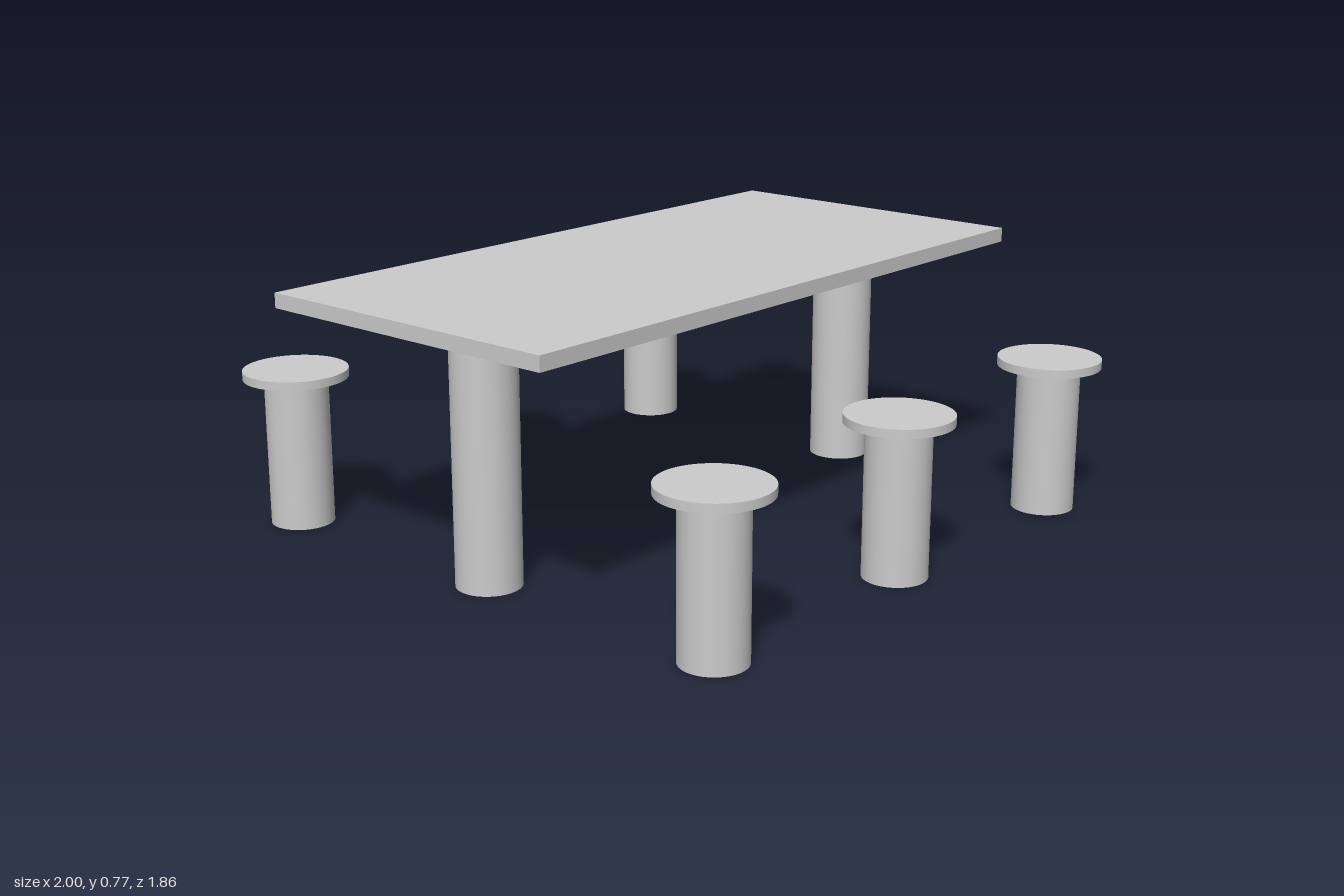
import * as THREE from 'three';

export function createModel() {
  const model = new THREE.Group();
  const material = new THREE.MeshStandardMaterial({ color: 0xcccccc });

  function add(parent, name, geometry, x, y, z) {
    const mesh = new THREE.Mesh(geometry, material);
    mesh.name = name;
    mesh.position.set(x, y, z);
    parent.add(mesh);
  }

  // Upright cylinder spanning two heights
  function column(parent, name, radius, bottom, top, x, z) {
    const geometry = new THREE.CylinderGeometry(radius, radius, top - bottom, 64);
    add(parent, name, geometry, x, (bottom + top) / 2, z);
  }

  // Table: thin slab on two round legs
  const table = new THREE.Group();
  table.name = 'table';
  model.add(table);
  add(table, 'tableTop', new THREE.BoxGeometry(2, 0.042, 0.976), 0, 0.746, -0.018);
  for (const x of [-0.733, 0.829]) column(table, 'tableLeg', 0.091, 0, 0.725, x, 0);

  // Three stools along each long side
  for (const z of [-0.778, 0.778]) {
    for (const x of [-0.733, 0.028, 0.79]) {
      const stool = new THREE.Group();
      stool.name = 'stool';
      stool.position.set(x, 0, z);
      model.add(stool);
      column(stool, 'stoolPedestal', 0.091, 0, 0.432, 0, 0);
      column(stool, 'stoolSeat', 0.15, 0.432, 0.457, 0, 0);
    }
  }
  return model;
}
